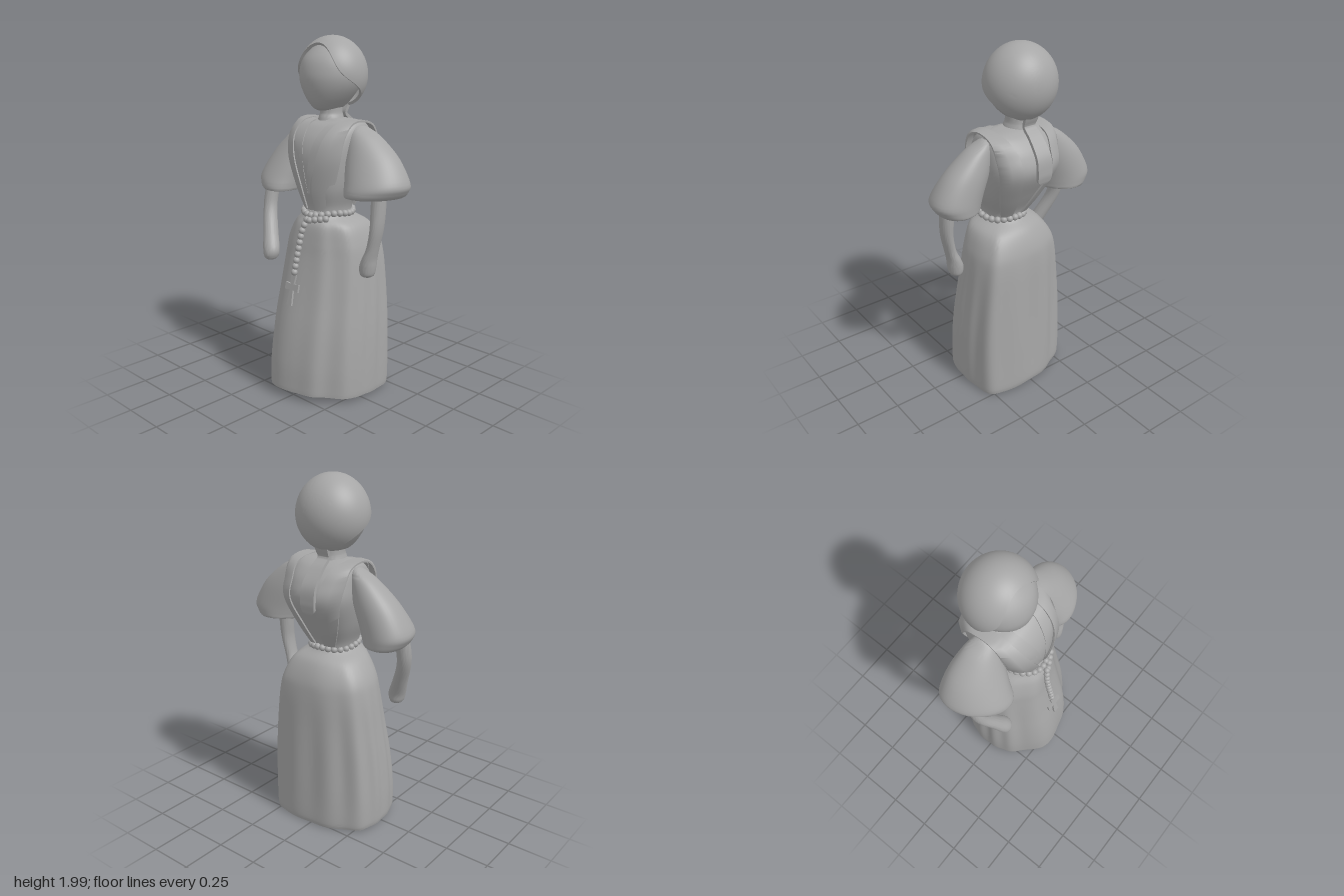
import * as THREE from 'three';
import { toCreasedNormals } from 'three/addons/utils/BufferGeometryUtils.js';

const material = new THREE.MeshStandardMaterial({ color: 0xa6a6a6, side: THREE.DoubleSide });

function part(name, geometry) {
  const mesh = new THREE.Mesh(geometry, material);
  mesh.name = name;
  return mesh;
}

// Smoothly resample rows of numbers (Catmull-Rom through every row)
function resample(keys, steps) {
  const at = (i) => keys[Math.min(Math.max(i, 0), keys.length - 1)];
  const rows = [];
  for (let i = 0; i < keys.length - 1; i++) {
    for (let s = 0; s < steps; s++) {
      const t = s / steps;
      rows.push(keys[i].map((b, k) => {
        const a = at(i - 1)[k], c = at(i + 1)[k], d = at(i + 2)[k];
        return b + 0.5 * t * (c - a + t * (2 * a - 5 * b + 4 * c - d + t * (3 * (b - c) + d - a)));
      }));
    }
  }
  rows.push(at(keys.length));
  return rows;
}

// Skin closed rings of [x, y, z] points, ordered bottom to top, with optional end caps
function skin(rings, { capEnd = true, crease = 0.9 } = {}) {
  const n = rings[0].length, pos = rings.flat(2), index = [];
  for (let i = 0; i < rings.length - 1; i++) {
    for (let j = 0; j < n; j++) {
      const a = i * n + j, b = i * n + (j + 1) % n;
      index.push(a, a + n, b, b, a + n, b + n);
    }
  }
  const cap = (ring, base, flip) => {
    const centre = pos.length / 3;
    for (let k = 0; k < 3; k++) pos.push(ring.reduce((s, p) => s + p[k], 0) / n);
    for (let j = 0; j < n; j++) {
      const a = base + j, b = base + (j + 1) % n;
      index.push(centre, flip ? b : a, flip ? a : b);
    }
  };
  cap(rings[0], 0, false);
  if (capEnd) cap(rings[rings.length - 1], (rings.length - 1) * n, true);
  const g = new THREE.BufferGeometry();
  g.setAttribute('position', new THREE.Float32BufferAttribute(pos, 3));
  g.setIndex(index);
  return toCreasedNormals(g, crease);
}

// Horizontal sections given as [y, xMin, xMax, zMin, zMax]; skew slides the back outwards in x
function loft(keys, power = 2, skew = 0) {
  const sides = 40, bend = (v) => Math.sign(v) * Math.abs(v) ** (2 / power);
  return skin(resample(keys, 5).map(([y, x0, x1, z0, z1]) =>
    Array.from({ length: sides }, (_, j) => {
      const t = (j / sides) * Math.PI * 2, dz = (z1 - z0) / 2 * bend(Math.sin(t));
      return [(x0 + x1) / 2 + (x1 - x0) / 2 * bend(Math.cos(t)) - skew * dz, y, (z0 + z1) / 2 + dz];
    })));
}

// Cloth band along rows of [xInner, xOuter, y, z]; the outer edge falls back towards the body
function band(keys, thick, fall = 0) {
  const rows = resample(keys, 6);
  return skin(rows.map(([xa, xb, y, z], i) => {
    const p = rows[Math.max(i - 1, 0)], q = rows[Math.min(i + 1, rows.length - 1)];
    const dy = q[2] - p[2], dz = q[3] - p[3], len = Math.hypot(dy, dz) || 1;
    const ny = -dz / len * thick, nz = dy / len * thick;
    const zb = z + (-0.08 - z) * fall, xm = xa + (xb - xa) * 0.6, zm = z + (zb - z) * 0.25;
    const ring = [[xa, y, z], [xm, y, zm], [xb, y, zb],
      [xb, y + ny, zb + nz], [xm, y + ny, zm + nz], [xa, y + ny, z + nz]];
    return xb < xa ? ring.reverse() : ring;
  }), { crease: 0.8 });
}

// Hollow skirt: sloping inside, hem, then outside up to the waist, with soft folds
function skirt() {
  const hem = [[0.315, -0.03], [0.293, 0.12], [0.2, 0.205], [0.15, 0.255], [0.06, 0.285], [-0.06, 0.31],
    [-0.13, 0.298], [-0.21, 0.225], [-0.29, 0.14], [-0.325, 0.02], [-0.32, -0.09], [-0.288, -0.17],
    [-0.2, -0.225], [-0.1, -0.265], [0, -0.28], [0.2, -0.275], [0.27, -0.25], [0.3, -0.17]];
  const outline = new THREE.CatmullRomCurve3(hem.map(([x, z]) =>
    new THREE.Vector3((x + 0.0075) / 0.3225, 0, (z - 0.015) / 0.295)), true).getSpacedPoints(140).slice(0, 140);
  const outer = resample([ // y, xMin, xMax, zMin, zMax, hem shape amount
    [0.01, -0.325, 0.312, -0.275, 0.308, 1], [0.05, -0.33, 0.315, -0.28, 0.308, 1],
    [0.2, -0.328, 0.315, -0.278, 0.3, 1], [0.4, -0.314, 0.308, -0.275, 0.275, 1],
    [0.6, -0.292, 0.292, -0.272, 0.235, 1], [0.8, -0.268, 0.272, -0.268, 0.197, 0.95],
    [0.9, -0.243, 0.253, -0.254, 0.182, 0.85], [0.99, -0.182, 0.215, -0.212, 0.163, 0.6],
    [1.04, -0.11, 0.145, -0.15, 0.135, 0.1], [1.07, -0.09, 0.13, -0.135, 0.12, 0]], 6);
  const ring = ([y, x0, x1, z0, z1, k], shrink = 0) => outline.map((p) => {
    const t = Math.atan2(p.z, p.x);
    const fold = 1 - shrink + 0.024 * Math.sin(Math.PI * Math.min(y + 0.12, 1)) *
      Math.sin(13 * t + 2 * Math.sin(2 * t) + y) * (0.6 - 0.4 * Math.sin(t + 0.5));
    const mix = (a, b) => (a * (1 - k) + b * k) * fold;
    const z = (z0 + z1) / 2 + (z1 - z0) / 2 * mix(Math.sin(t), p.z);
    return [(x0 + x1) / 2 + (x1 - x0) / 2 * mix(Math.cos(t), p.x),
      y + Math.max(0, 1 - y / 0.4) * (z + 0.28) * 0.075, z];
  });
  return skin([ring(outer[10], 0.4), ring(outer[0], 0.04), ...outer.map((r) => ring(r))], { crease: 0.7 });
}

// Head scarf: ellipsoid shell leaning back, with a wavy rim and a turned-in edge
function scarf() {
  const pole = new THREE.Vector3(0, 0.53, -0.85).normalize();
  const up = new THREE.Vector3(0, 0.85, 0.53).normalize(), side = new THREE.Vector3(1, 0, 0);
  const rings = [];
  for (let i = 0; i <= 26; i++) {
    const s = Math.min((i + 0.3) / 24.3, 1), size = i > 24 ? 1 - (i - 24) * 0.04 : 1;
    rings.push(Array.from({ length: 64 }, (_, j) => {
      const phi = (j / 64) * Math.PI * 2, a = Math.sin(phi) ** 2;
      const rim = (94 + 14 * a + 30 * a * Math.cos(phi)) * Math.PI / 180 * s;
      const d = pole.clone().multiplyScalar(Math.cos(rim))
        .addScaledVector(up, Math.sin(rim) * Math.cos(phi))
        .addScaledVector(side, Math.sin(rim) * Math.sin(phi)).multiplyScalar(size);
      return [-0.035 + d.x * 0.2 * (1 - 0.04 * d.y), 1.795 + d.y * 0.205, -0.1 + d.z * 0.187];
    }));
  }
  return skin(rings, { capEnd: false });
}

// Cross with slightly flared arms
function pendantCross() {
  const s = new THREE.Shape([[-0.018, 0.068], [0.018, 0.068], [0.012, 0.018], [0.05, 0.023], [0.05, -0.02],
    [0.012, -0.014], [0.019, -0.1], [-0.019, -0.1], [-0.012, -0.014], [-0.05, -0.02], [-0.05, 0.023],
    [-0.012, 0.018]].map(([x, y]) => new THREE.Vector2(x, y)));
  return new THREE.ExtrudeGeometry(s, { depth: 0.012, bevelEnabled: false });
}

export function createModel() {
  const model = new THREE.Group();
  model.name = 'robedFigure';
  const add = (name, geometry) => model.add(part(name, geometry));

  add('skirt', skirt());
  add('torso', loft([[1.03, -0.09, 0.13, -0.14, 0.115], [1.09, -0.105, 0.135, -0.15, 0.115],
    [1.2, -0.155, 0.175, -0.215, 0.143], [1.35, -0.198, 0.198, -0.295, 0.148], [1.45, -0.2, 0.2, -0.275, 0.118],
    [1.52, -0.19, 0.19, -0.22, 0.055], [1.55, -0.16, 0.16, -0.17, -0.01], [1.56, -0.1, 0.06, -0.13, -0.03]], 2.6));
  add('neck', loft([[1.5, -0.11, 0.06, -0.17, 0.01], [1.56, -0.09, 0.04, -0.155, -0.005],
    [1.59, -0.083, 0.03, -0.15, -0.015], [1.65, -0.085, 0.03, -0.15, -0.01]]));
  add('head', loft([[1.6, -0.07, 0, -0.13, 0], [1.615, -0.1, 0.03, -0.17, 0.03], [1.66, -0.145, 0.078, -0.21, 0.06],
    [1.73, -0.192, 0.125, -0.25, 0.082], [1.8, -0.21, 0.142, -0.27, 0.085], [1.88, -0.192, 0.125, -0.25, 0.058],
    [1.95, -0.125, 0.055, -0.19, -0.01], [1.98, -0.07, 0, -0.12, -0.07]]));
  add('headScarf', scarf());
  add('scarfTail', band([[-0.08, 0.01, 1.67, -0.2], [-0.075, 0.005, 1.62, -0.18], [-0.07, 0, 1.57, -0.168],
    [-0.075, 0.005, 1.52, -0.225], [-0.08, 0.01, 1.44, -0.288], [-0.08, 0.01, 1.36, -0.3],
    [-0.075, 0.005, 1.32, -0.295], [-0.055, -0.015, 1.305, -0.29]], 0.018));

  // Pinafore straps over both shoulders, and lapels inside them
  for (const side of [1, -1]) {
    const label = side > 0 ? 'left' : 'right';
    const mirror = (rows) => rows.map(([a, b, y, z]) => {
      const centre = 0.02 * Math.max(0, 1 - (y - 1.08) / 0.35);
      return [centre + side * a, centre + side * b, y, z];
    });
    add(label + 'Strap', band(mirror([[0.03, 0.09, 1.08, 0.115], [0.04, 0.135, 1.2, 0.143], [0.08, 0.185, 1.35, 0.148],
      [0.11, 0.2, 1.46, 0.118], [0.125, 0.203, 1.53, 0.045], [0.125, 0.2, 1.55, -0.06], [0.12, 0.203, 1.53, -0.2],
      [0.1, 0.2, 1.46, -0.268], [0.09, 0.185, 1.36, -0.295], [0.05, 0.14, 1.2, -0.22], [0.03, 0.09, 1.08, -0.145]]),
      0.009, 0.33));
    add(label + 'Lapel', band(mirror([[0.001, 0.012, 1.17, 0.134], [0.015, 0.06, 1.3, 0.146], [0.04, 0.11, 1.44, 0.119],
      [0.065, 0.15, 1.53, 0.04], [0.07, 0.15, 1.55, -0.05]]), 0.006, 0.04));

    // Flared sleeve with a hollow cuff; the right one hangs lower and further forward
    const sleeve = [[1.25, 0.25, 0.43, -0.15, 0.05], [1.185, 0.225, 0.44, -0.18, 0.09], [1.172, 0.205, 0.452, -0.195, 0.105],
      [1.2, 0.195, 0.482, -0.2, 0.108], [1.25, 0.182, 0.495, -0.2, 0.092], [1.37, 0.15, 0.422, -0.187, 0.04],
      [1.47, 0.14, 0.31, -0.16, -0.005], [1.515, 0.15, 0.23, -0.135, -0.038], [1.53, 0.17, 0.2, -0.11, -0.07]];
    add(label + 'Sleeve', loft(side > 0 ? sleeve : sleeve.map(([y, a, b, c, d]) => {
      const drop = (1.53 - y) / 0.35;
      return [y - 0.03 * drop, -b, -a, c, d + 0.05 * drop];
    }), 2.1, side * 0.25));
  }

  // Arms ending in simple rounded hands
  add('leftArm', loft([[0.733, 0.315, 0.34, -0.015, 0.015], [0.748, 0.292, 0.362, -0.042, 0.042],
    [0.79, 0.285, 0.372, -0.05, 0.05], [0.84, 0.303, 0.377, -0.05, 0.048], [0.9, 0.33, 0.39, -0.045, 0.04],
    [1, 0.348, 0.412, -0.052, 0.038], [1.1, 0.345, 0.42, -0.06, 0.03], [1.28, 0.335, 0.42, -0.07, 0.01]]));
  add('rightArm', loft([[0.723, -0.32, -0.295, 0.115, 0.145], [0.74, -0.345, -0.272, 0.085, 0.17],
    [0.79, -0.362, -0.265, 0.075, 0.17], [0.88, -0.393, -0.31, 0.045, 0.135], [1, -0.438, -0.362, 0.005, 0.09],
    [1.1, -0.45, -0.37, -0.02, 0.065], [1.28, -0.44, -0.355, -0.06, 0.02]]));

  // Bead belt with a hanging strand
  const beads = new THREE.Group();
  beads.name = 'beadBelt';
  const ball = new THREE.SphereGeometry(0.0185, 16, 12);
  const bead = (x, y, z) => {
    const b = part('bead', ball);
    b.position.set(x, y, z);
    beads.add(b);
  };
  for (let i = 0; i < 25; i++) {
    const t = (i / 25) * Math.PI * 2;
    bead(0.025 + 0.125 * Math.cos(t), 1.056 + 0.006 * Math.sin(3 * t), -0.008 + 0.145 * Math.sin(t));
  }
  for (let i = 0; i < 4; i++) bead(0.045 + i * 0.027, 1.028 + i * 0.004, 0.162 - i * 0.015);
  const strand = new THREE.CatmullRomCurve3([[0.03, 1.03, 0.165], [0.012, 0.97, 0.183], [0.005, 0.88, 0.203],
    [0.002, 0.74, 0.235]].map((p) => new THREE.Vector3(...p)));
  for (const p of strand.getSpacedPoints(9)) bead(p.x, p.y, p.z);
  model.add(beads, part('strandCord', new THREE.TubeGeometry(strand, 24, 0.006, 8)));

  const cross = part('cross', pendantCross());
  cross.position.set(0.002, 0.656, 0.246);
  cross.rotation.x = -0.23;
  model.add(cross);
  return model;
}
